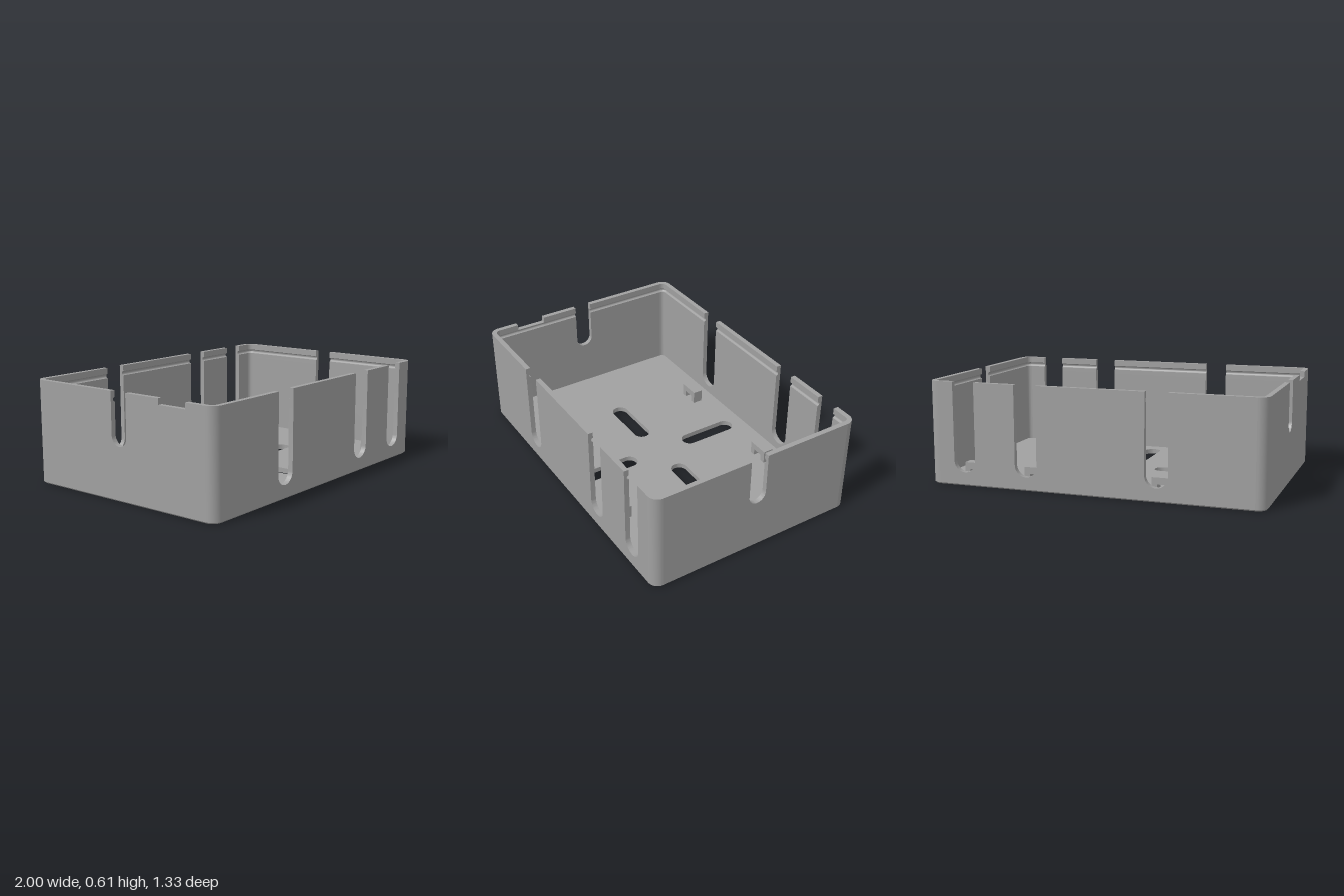
import * as THREE from 'three';
import { toCreasedNormals } from 'three/addons/utils/BufferGeometryUtils.js';

const HX = 1, HZ = 0.665, H = 0.61;      // half length, half width, height
const R = 0.06, T = 0.03;                // corner radius, wall thickness
const FLOOR = 0.03, BAND = 0.52;         // floor top, start of the grooved rim
const GROOVE_Y = 0.56, GROOVE_R = 0.013; // snap groove inside the rim
const CHAMFER = 0.008;

// Wall cross-section pieces; x = 0 is the outer face, negative is inward
function groovePoints() {
  const pts = [];
  for (let i = 0; i <= 8; i++) {
    const a = Math.PI / 2 - (i / 8) * Math.PI;
    pts.push([-T + GROOVE_R * Math.cos(a), GROOVE_Y + GROOVE_R * Math.sin(a)]);
  }
  return pts;
}
const footProfile = [[-T, 0], [-CHAMFER, 0], [0, CHAMFER], [0, FLOOR], [-T, FLOOR]];
const rimProfile = (top) => [[-T, BAND], [0, BAND], [0, top], [-T, top], ...groovePoints()];
const fullProfile = [[-T, 0], [-CHAMFER, 0], [0, CHAMFER], [0, H], [-T, H], ...groovePoints(), [-T, 0]];

const toVectors = (pts) => pts.map(([x, y]) => new THREE.Vector2(x, y));

function roundedRect(hx, hz, r) {
  const s = new THREE.Shape();
  s.absarc(hx - r, hz - r, r, 0, Math.PI / 2);
  s.absarc(-hx + r, hz - r, r, Math.PI / 2, Math.PI);
  s.absarc(-hx + r, -hz + r, r, Math.PI, Math.PI * 1.5);
  s.absarc(hx - r, -hz + r, r, Math.PI * 1.5, Math.PI * 2);
  s.closePath();
  return s;
}

// Long hole with round ends, along x or z
function slotHole(cx, cy, alongX) {
  const half = 0.1375, r = 0.05;
  const p = new THREE.Path();
  if (alongX) {
    p.absarc(cx + half, cy, r, -Math.PI / 2, Math.PI / 2);
    p.absarc(cx - half, cy, r, Math.PI / 2, Math.PI * 1.5);
  } else {
    p.absarc(cx, cy + half, r, 0, Math.PI);
    p.absarc(cx, cy - half, r, Math.PI, Math.PI * 2);
  }
  p.closePath();
  return p;
}

export function createModel() {
  const model = new THREE.Group();
  const grey = new THREE.MeshStandardMaterial({ color: 0xa0a0a0 });
  grey.name = 'grey plastic';

  function add(parent, name, geometry) {
    const mesh = new THREE.Mesh(toCreasedNormals(geometry, 0.6), grey);
    mesh.name = name;
    parent.add(mesh);
    return mesh;
  }

  const extrude = (shape, depth) =>
    new THREE.ExtrudeGeometry(shape, { depth, bevelEnabled: false, curveSegments: 16 });

  // Run a wall cross-section along x from a to b
  function strip(parent, name, profile, a, b) {
    const g = extrude(new THREE.Shape(toVectors(profile)), b - a);
    g.rotateY(-Math.PI / 2).translate(b, 0, 0);
    add(parent, name, g);
  }

  // One straight wall with U-shaped cable slots open at the top
  function wall(name, half, distance, angle, slots, notch) {
    const group = new THREE.Group();
    group.name = name;
    group.rotation.y = angle;
    const body = new THREE.Group();
    body.position.z = distance;
    group.add(body);

    strip(body, 'wallFoot', footProfile, -half, half);

    const sorted = [...slots].sort((p, q) => p.x - q.x);
    const s = new THREE.Shape();
    s.moveTo(-half, FLOOR);
    s.lineTo(half, FLOOR);
    s.lineTo(half, BAND);
    for (const { x, w, bottom } of [...sorted].reverse()) {
      s.lineTo(x + w / 2, BAND);
      s.absarc(x, bottom + w / 2, w / 2, 0, Math.PI, true);
      s.lineTo(x - w / 2, BAND);
    }
    s.lineTo(-half, BAND);
    s.closePath();
    add(body, 'wallPanel', extrude(s, T).translate(0, 0, -T));

    // Grooved rim between the slots, lowered at the pry notch
    let start = -half;
    for (const { x, w } of [...sorted, { x: half, w: 0 }]) {
      const end = x - w / 2;
      if (notch && notch[0] > start && notch[1] < end) {
        strip(body, 'rim', rimProfile(H), start, notch[0]);
        strip(body, 'pryNotch', rimProfile(GROOVE_Y + GROOVE_R + 0.002), notch[0], notch[1]);
        strip(body, 'rim', rimProfile(H), notch[1], end);
      } else {
        strip(body, 'rim', rimProfile(H), start, end);
      }
      start = x + w / 2;
    }
    model.add(group);
  }

  const cableX = [-0.391, 0.387, 0.775];
  const cableSlots = (sign) => cableX.map((x) => ({ x: x * sign, w: 0.135, bottom: 0.08 }));
  const sideSlot = [{ x: 0, w: 0.11, bottom: 0.31 }];
  wall('frontWall', HX - R, HZ, 0, cableSlots(1));
  wall('backWall', HX - R, HZ, Math.PI, cableSlots(-1));
  wall('leftWall', HZ - R, HX, Math.PI / 2, sideSlot);
  wall('rightWall', HZ - R, HX, -Math.PI / 2, sideSlot, [0.29, 0.475]);

  // Rounded corners
  const cornerPoints = toVectors(fullProfile.map(([x, y]) => [x + R, y]));
  [[1, 1], [1, -1], [-1, -1], [-1, 1]].forEach(([sx, sz], i) => {
    const g = new THREE.LatheGeometry(cornerPoints, 10, i * Math.PI / 2, Math.PI / 2);
    add(model, 'corner', g).position.set(sx * (HX - R), 0, sz * (HZ - R));
  });

  // Floor with four mounting slots in a cross
  const floor = roundedRect(HX - T, HZ - T, R - T);
  for (const s of [-1, 1]) {
    floor.holes.push(slotHole(s * 0.3625, 0, true), slotHole(0, s * 0.3625, false));
  }
  add(model, 'floor', extrude(floor, FLOOR).rotateX(-Math.PI / 2));

  // Small bridges for cable ties, one behind each cable slot
  const arch = new THREE.Shape(toVectors([
    [-0.066, 0], [-0.033, 0], [-0.033, 0.04], [0.033, 0.04],
    [0.033, 0], [0.066, 0], [0.066, 0.08], [-0.066, 0.08],
  ]));
  for (const x of cableX) {
    for (const s of [-1, 1]) {
      const g = extrude(arch, 0.062).translate(0, 0, -0.031);
      add(model, 'tieBridge', g).position.set(x, FLOOR, s * 0.508);
    }
  }

  return model;
}
